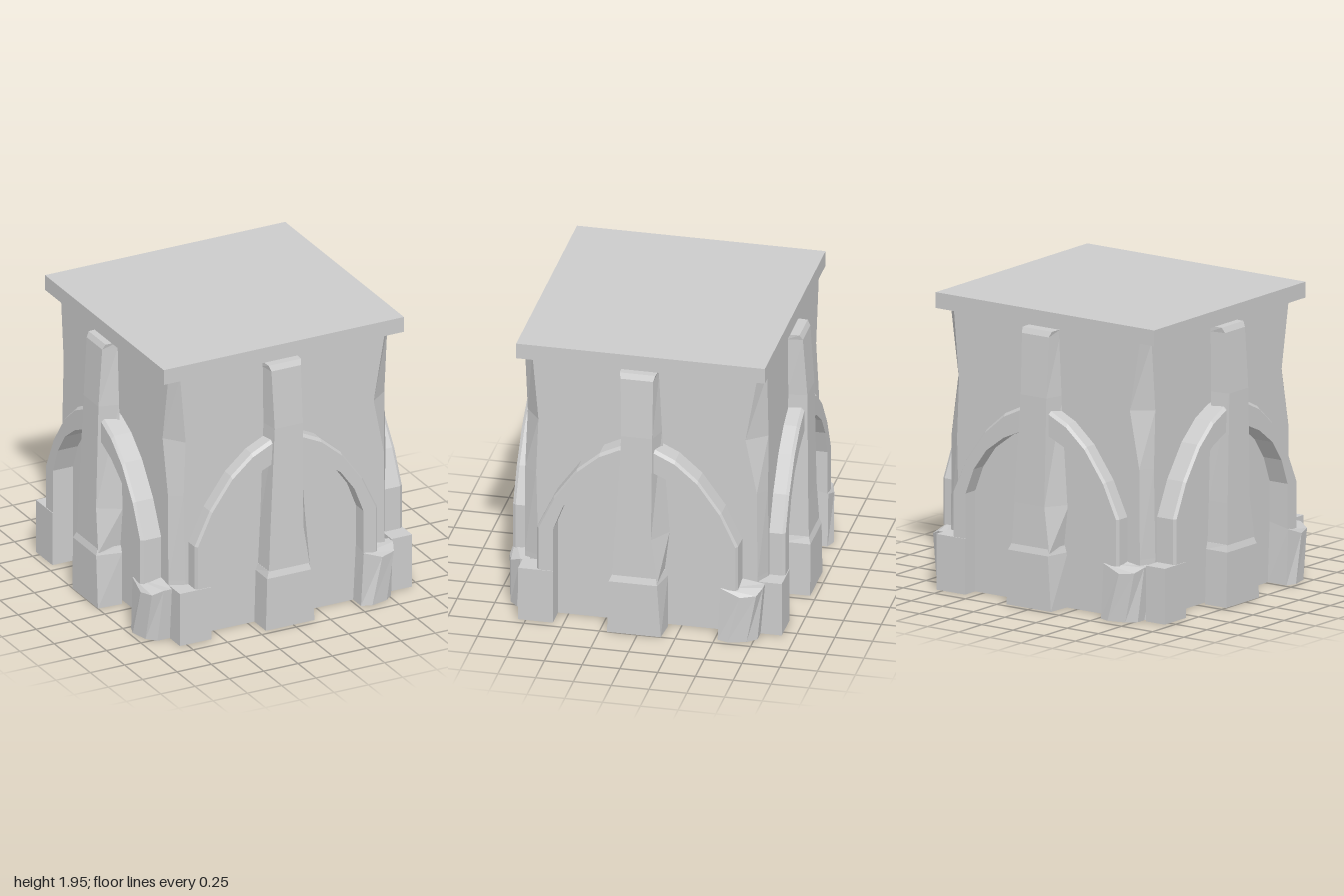
import * as THREE from 'three';

const material = new THREE.MeshStandardMaterial({ color: 0xcccccc, flatShading: true });

// Skins a row of rings (points counter-clockwise seen from the far end) and caps both ends.
function loft(name, rings) {
  const pos = [];
  const tri = (a, b, c) => pos.push(...a, ...b, ...c);
  const n = rings[0].length;
  for (let i = 0; i < rings.length - 1; i++) {
    for (let j = 0; j < n; j++) {
      const k = (j + 1) % n;
      const [a, b, c, d] = [rings[i][j], rings[i][k], rings[i + 1][k], rings[i + 1][j]];
      tri(a, b, c);
      tri(a, c, d);
    }
  }
  const first = rings[0], last = rings[rings.length - 1];
  for (let j = 1; j < n - 1; j++) {
    tri(first[0], first[j + 1], first[j]);
    tri(last[0], last[j], last[j + 1]);
  }
  const geometry = new THREE.BufferGeometry();
  geometry.setAttribute('position', new THREE.Float32BufferAttribute(pos, 3));
  geometry.computeVertexNormals();
  const mesh = new THREE.Mesh(geometry, material);
  mesh.name = name;
  return mesh;
}

function box(name, x0, x1, y0, y1, z0, z1) {
  const mesh = new THREE.Mesh(new THREE.BoxGeometry(x1 - x0, y1 - y0, z1 - z0), material);
  mesh.position.set((x0 + x1) / 2, (y0 + y1) / 2, (z0 + z1) / 2);
  mesh.name = name;
  return mesh;
}

// Square core whose four corners are chipped unevenly with height.
function createCore() {
  const levels = [ // y, cut on the face, cut on the neighbouring face
    [0, 0.76, 0.72], [0.4, 0.75, 0.7], [1.0, 0.745, 0.715], [1.38, 0.67, 0.7], [1.84, 0.75, 0.74],
  ];
  return loft('core', levels.map(([y, a, b]) => {
    const ring = [];
    let corner = [[a, 0.8], [0.8, b]];
    for (let k = 0; k < 4; k++) {
      ring.push(...corner.map(([x, z]) => [x, y, z]));
      corner = corner.map(([x, z]) => [z, -x]);
    }
    return ring;
  }));
}

// Upright with trapezoid sections: y, front left/right x, back left/right x, front z.
const upright = (name, levels) => loft(name, levels.map(([y, fl, fr, bl, br, z]) => [
  [fl, y, z], [fr, y, z], [br, y, 0.79], [bl, y, 0.79],
]));

// Pointed-round arch band, bevelled along its outer front edge.
function createArch() {
  const half = [ // outer x, outer y, inner x, inner y, measured from the arch axis
    [0.665, 0.36, 0.555, 0.36], [0.665, 0.67, 0.555, 0.67], [0.555, 0.9, 0.49, 0.84],
    [0.4, 1.115, 0.39, 0.98], [0.25, 1.245, 0.25, 1.085], [0.115, 1.31, 0.115, 1.145],
  ];
  const mirror = half.map(([a, b, c, d]) => [-a, b, -c, d]);
  const path = [...mirror, [0, 1.33, 0, 1.165], ...half.reverse()];
  const cx = -0.015, front = 0.905, back = 0.76;
  return loft('arch', path.map(([ox, oy, ix, iy]) => {
    const bx = ox + (ix - ox) * 0.13, by = oy + (iy - oy) * 0.13;
    return [
      [ox + cx, oy, front - 0.02], [bx + cx, by, front],
      [ix + cx, iy, front], [ix + cx, iy, back], [ox + cx, oy, back],
    ];
  }));
}

// One decorated face: pilaster, arch and the two arch footings.
function createFace(name) {
  const face = new THREE.Group();
  face.name = name;
  face.add(
    createArch(),
    upright('pilasterBase', [
      [0, -0.2, 0.155, -0.2, 0.165, 0.96],
      [0.365, -0.19, 0.13, -0.19, 0.165, 0.96],
      [0.41, -0.17, 0.12, -0.175, 0.15, 0.943],
    ]),
    upright('pilasterShaft', [
      [0.38, -0.17, 0.13, -0.175, 0.14, 0.945],
      [0.68, -0.155, 0.085, -0.16, 0.175, 0.937],
      [1.4, -0.115, 0.09, -0.135, 0.125, 0.922],
      [1.8, -0.125, 0.09, -0.14, 0.105, 0.895],
      [1.835, -0.135, 0.1, -0.14, 0.105, 0.875],
    ]),
    box('squareFooting', -0.8, -0.57, 0, 0.37, 0.76, 0.91),
    loft('chippedFooting', [
      [[0.52, 0, 0.91], [0.59, 0, 0.935], [0.71, 0, 0.905], [0.77, 0, 0.85], [0.77, 0, 0.76], [0.52, 0, 0.76]],
      [[0.54, 0.37, 0.91], [0.67, 0.32, 0.92], [0.77, 0.33, 0.89], [0.8, 0.36, 0.82], [0.8, 0.36, 0.76], [0.54, 0.4, 0.76]],
    ]),
  );
  return face;
}

export function createModel() {
  const model = new THREE.Group();
  model.name = 'pedestal';
  model.add(createCore(), box('topSlab', -0.875, 0.875, 1.84, 1.945, -0.815, 0.83));

  // The side faces stand slightly further out than front and back.
  ['frontFace', 'leftFace', 'backFace', 'rightFace'].forEach((name, i) => {
    const face = createFace(name);
    face.rotation.y = i * Math.PI / 2;
    if (i % 2) face.position.x = i === 1 ? 0.04 : -0.04;
    model.add(face);
  });
  return model;
}
